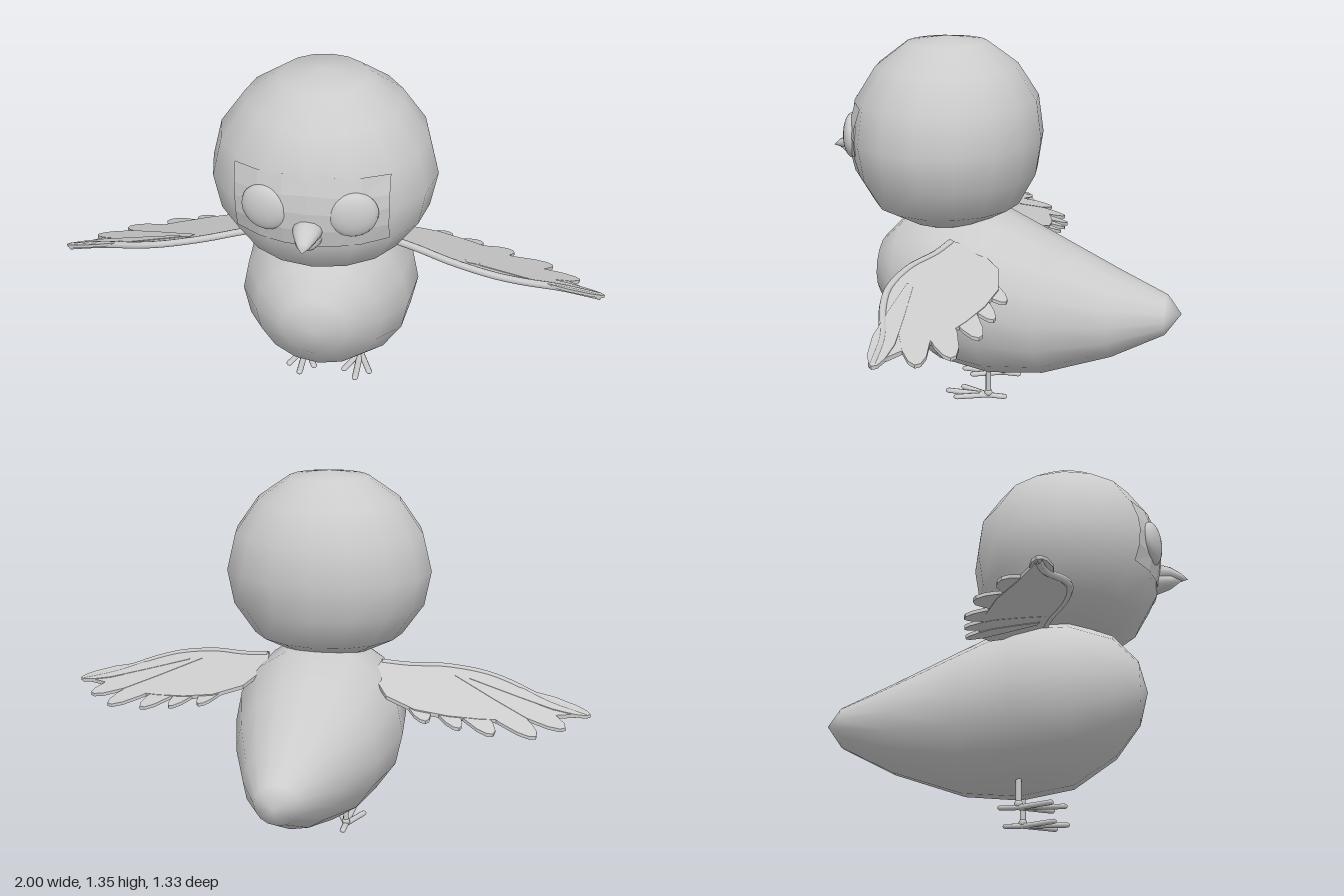
import * as THREE from 'three';
import { mergeVertices } from 'three/addons/utils/BufferGeometryUtils.js';

const grey = new THREE.MeshStandardMaterial({ color: 0xcccccc });
const thin = new THREE.MeshStandardMaterial({ color: 0xcccccc, side: THREE.DoubleSide });
const faceted = new THREE.MeshStandardMaterial({ color: 0xcccccc, flatShading: true, side: THREE.DoubleSide });

function add(parent, name, geometry, material = grey) {
  const mesh = new THREE.Mesh(geometry, material);
  mesh.name = name;
  parent.add(mesh);
  return mesh;
}

// Smooth skin over elliptical rings along z; each ring is [z, centreY, radiusX, radiusY]
function loft(rings, sides) {
  const position = [], index = [];
  rings.forEach(([z, cy, rx, ry], i) => {
    for (let j = 0; j < sides; j++) {
      const a = Math.PI / 2 + (j / sides) * Math.PI * 2;
      position.push(rx * Math.cos(a), cy + ry * Math.sin(a), z);
      if (i === rings.length - 1) continue;
      const k = (j + 1) % sides;
      const p = i * sides + j, q = i * sides + k;
      index.push(p, q, q + sides, p, q + sides, p + sides);
    }
  });
  let g = new THREE.BufferGeometry();
  g.setAttribute('position', new THREE.Float32BufferAttribute(position, 3));
  g.setIndex(index);
  g = mergeVertices(g);
  g.computeVertexNormals();
  return g;
}

// Height of the sloping wing plane
const wingY = (x, z) => 0.64 - 0.213 * Math.abs(x) + 0.33 * z;

// Extrude an x/z outline and lay it on the wing plane
function wingPlate(shape, depth, lift) {
  const g = new THREE.ExtrudeGeometry(shape, { depth, bevelEnabled: false, curveSegments: 6 });
  const p = g.attributes.position;
  for (let i = 0; i < p.count; i++) {
    const x = p.getX(i), z = p.getY(i), d = p.getZ(i);
    p.setXYZ(i, x, wingY(x, z) + lift - d, z);
  }
  g.computeVertexNormals();
  return g;
}

// Leaf outline, widest near its rounded tip
function featherShape([bx, bz, tx, tz, w], s) {
  const axis = new THREE.Vector2(tx - bx, tz - bz);
  const side = new THREE.Vector2(-axis.y, axis.x).normalize();
  const at = (t, o) => new THREE.Vector2(s * (bx + axis.x * t + side.x * o * w), bz + axis.y * t + side.y * o * w);
  const pts = [at(0, -0.3), at(0.4, -0.75), at(0.7, -1), at(0.88, -0.75), at(0.97, -0.4), at(1, 0),
    at(0.97, 0.4), at(0.88, 0.75), at(0.7, 1), at(0.4, 0.75), at(0, 0.3)];
  return new THREE.Shape(pts);
}

function buildWing(s) {
  const wing = new THREE.Group();
  wing.name = s > 0 ? 'leftWing' : 'rightWing';
  const leading = [[0.22, 0.14], [0.32, 0.165], [0.45, 0.215], [0.6, 0.237], [0.7, 0.222], [0.85, 0.172], [0.985, 0.155]];
  const notches = [[0.86, 0.09], [0.75, 0.015], [0.61, -0.035], [0.5, -0.065], [0.38, -0.08], [0.27, -0.05], [0.2, 0.05]];
  const outline = [...leading, ...notches].map(([x, z]) => new THREE.Vector2(s * x, z));
  add(wing, 'wingWeb', wingPlate(new THREE.Shape(outline), 0.014, 0.007), thin);

  // Feathers as base x, base z, tip x, tip z, half width
  const feathers = [
    [0.55, 0.18, 1.0, 0.152, 0.036], [0.5, 0.18, 0.915, 0.043, 0.05], [0.45, 0.18, 0.815, -0.043, 0.054],
    [0.4, 0.16, 0.665, -0.092, 0.05], [0.35, 0.14, 0.545, -0.108, 0.042], [0.3, 0.12, 0.425, -0.118, 0.042],
  ];
  feathers.forEach((f, i) => add(wing, 'feather', wingPlate(featherShape(f, s), 0.012, 0.01 - i * 0.0015), thin));

  // Rounded front edge
  const edge = new THREE.CatmullRomCurve3(leading.map(([x, z]) => new THREE.Vector3(s * x, wingY(x, z), z)));
  add(wing, 'wingEdge', new THREE.TubeGeometry(edge, 24, 0.013, 8), thin);
  return wing;
}

function buildLeg(s) {
  const leg = new THREE.Group();
  leg.name = s > 0 ? 'leftLeg' : 'rightLeg';
  leg.position.set(s * 0.108, 0, 0.035);
  add(leg, 'shank', new THREE.CylinderGeometry(0.01, 0.011, 0.11, 8)).position.y = 0.065;
  add(leg, 'ankle', new THREE.SphereGeometry(0.016, 8, 6)).position.y = 0.02;
  // Three front toes and a short hind toe
  for (const [x, z] of [[0, 0.155], [-0.048, 0.11], [0.048, 0.11], [0, -0.06]]) {
    const len = Math.hypot(x, z);
    const g = new THREE.CapsuleGeometry(0.012, len, 4, 8);
    g.rotateX(Math.PI / 2).rotateY(Math.atan2(x, z)).scale(1, 0.8, 1);
    add(leg, 'toe', g).position.set(x / 2, 0.0096, z / 2);
  }
  return leg;
}

export function createModel() {
  const bird = new THREE.Group();
  bird.name = 'bird';

  // Body tapering back into the tail
  add(bird, 'body', loft([
    [-0.665, 0.365, 0, 0], [-0.61, 0.357, 0.08, 0.073], [-0.42, 0.347, 0.17, 0.163], [-0.17, 0.362, 0.265, 0.262],
    [0.03, 0.4, 0.322, 0.315], [0.22, 0.42, 0.305, 0.3], [0.375, 0.447, 0.225, 0.222],
    [0.465, 0.46, 0.12, 0.115], [0.495, 0.463, 0, 0],
  ], 16));

  // Round head, lofted upright
  const hz = -0.215;
  add(bird, 'head', loft([
    [0.675, hz, 0, 0], [0.675, hz, 0.17, 0.155], [0.735, hz, 0.285, 0.267], [0.85, hz, 0.365, 0.33],
    [0.98, hz, 0.39, 0.35], [1.12, hz, 0.355, 0.333], [1.24, hz, 0.27, 0.257], [1.323, hz, 0.15, 0.147], [1.345, hz, 0, 0],
  ], 16).rotateX(-Math.PI / 2));

  // Faceted face panel following the head
  const face = new THREE.PlaneGeometry(0.51, 0.265, 6, 4);
  const p = face.attributes.position;
  for (let i = 0; i < p.count; i++) {
    const x = p.getX(i), y = p.getY(i) + 1.0 - (p.getY(i) > 0 ? Math.abs(x) * 0.08 : 0);
    const r = Math.sqrt(1 - (x / 0.395) ** 2 - ((y - 0.985) / 0.37) ** 2);
    p.setXYZ(i, x, y, 0.217 + 0.352 * r);
  }
  face.computeVertexNormals();
  add(bird, 'facePanel', face, faceted);

  // Beak halves
  add(bird, 'upperBeak', loft([
    [0.5, 0.93, 0, 0], [0.5, 0.93, 0.045, 0.045], [0.55, 0.935, 0.052, 0.042], [0.6, 0.935, 0.04, 0.028],
    [0.64, 0.924, 0.02, 0.014], [0.665, 0.915, 0, 0],
  ], 12));
  add(bird, 'lowerBeak', loft([
    [0.5, 0.9, 0, 0], [0.5, 0.9, 0.045, 0.045], [0.55, 0.9, 0.047, 0.037], [0.6, 0.905, 0.034, 0.023],
    [0.645, 0.913, 0, 0],
  ], 12));

  for (const s of [1, -1]) {
    // Flattened eye turned slightly outward
    const eye = add(bird, s > 0 ? 'leftEye' : 'rightEye', new THREE.SphereGeometry(0.082, 20, 14));
    eye.scale.set(1, 1, 0.42);
    eye.position.set(s * 0.145, 0.992, 0.53);
    eye.rotation.y = s * 0.25;
    bird.add(buildWing(s), buildLeg(s));
  }
  return bird;
}
